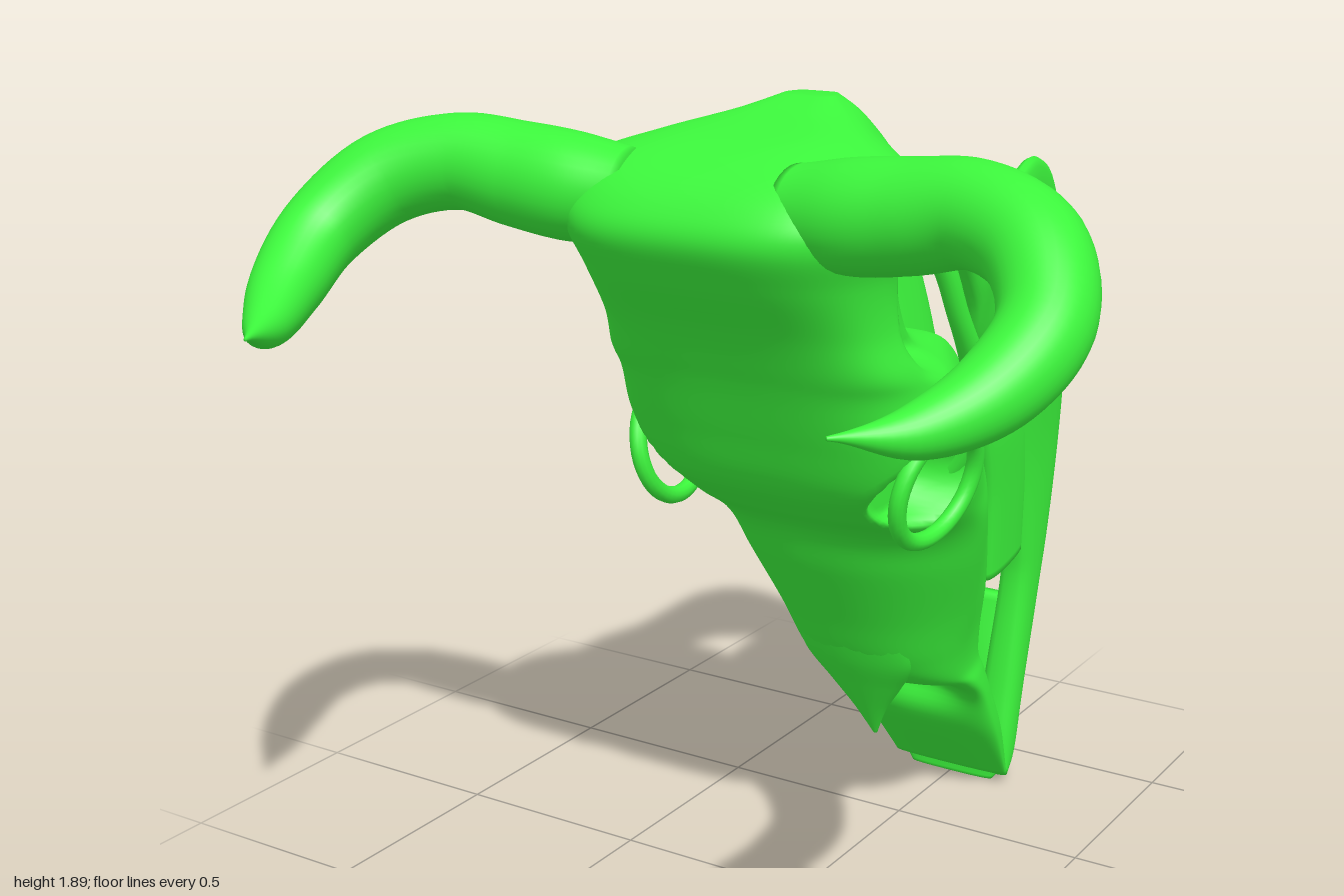
import * as THREE from 'three';

const material = new THREE.MeshStandardMaterial({ color: 0x3cf53c, side: THREE.DoubleSide });
const { lerp, smoothstep } = THREE.MathUtils;
const spow = (v, e) => Math.sign(v) * Math.pow(Math.abs(v), e);

// Smooth (Catmull-Rom) interpolation of every number in a list of rows
function sample(rows, t) {
  const f = t * (rows.length - 1), i = Math.min(Math.floor(f), rows.length - 2), u = f - i;
  const a = rows[Math.max(i - 1, 0)], b = rows[i], c = rows[i + 1], d = rows[Math.min(i + 2, rows.length - 1)];
  return b.map((p, k) => {
    const m0 = (c[k] - a[k]) / 2, m1 = (d[k] - p) / 2, e = c[k] - p;
    return p + u * (m0 + u * (3 * e - 2 * m0 - m1 + u * (m0 + m1 - 2 * e)));
  });
}

// Closed skin over rings; point(row, angle, t) returns [x, y, z]
function loft(name, rows, steps, sides, point) {
  const pos = [], idx = [];
  for (let j = 0; j <= steps; j++) {
    const row = sample(rows, j / steps);
    for (let i = 0; i < sides; i++) pos.push(...point(row, (i / sides) * Math.PI * 2, j / steps));
  }
  for (let j = 0; j < steps; j++) for (let i = 0; i < sides; i++) {
    const a = j * sides + i, b = j * sides + (i + 1) % sides;
    idx.push(a, b, a + sides, b, b + sides, a + sides);
  }
  for (const j of [0, steps]) { // end caps
    const c = new THREE.Vector3(), centre = pos.length / 3;
    for (let i = 0; i < sides; i++) c.add(new THREE.Vector3().fromArray(pos, (j * sides + i) * 3));
    pos.push(...c.divideScalar(sides).toArray());
    for (let i = 0; i < sides; i++) {
      const a = j * sides + i, b = j * sides + (i + 1) % sides;
      idx.push(...(j ? [a, b, centre] : [b, a, centre]));
    }
  }
  // Turn the faces outwards whichever way the rings run
  let volume = 0;
  const v = (i) => new THREE.Vector3().fromArray(pos, idx[i] * 3);
  for (let i = 0; i < idx.length; i += 3) volume += v(i).dot(v(i + 1).cross(v(i + 2)));
  if (volume < 0) idx.reverse();
  const g = new THREE.BufferGeometry();
  g.setAttribute('position', new THREE.Float32BufferAttribute(pos, 3));
  g.setIndex(idx);
  g.computeVertexNormals();
  const mesh = new THREE.Mesh(g, material);
  mesh.name = name;
  return mesh;
}

// Round horn or strut; rows are [x, y, z, radius]
function taperedTube(name, rows, side, steps, sides) {
  const curve = new THREE.CatmullRomCurve3(rows.map(([x, y, z]) => new THREE.Vector3(x, y, z)));
  const frames = curve.computeFrenetFrames(steps);
  return loft(name, rows.map((r) => [r[3]]), steps, sides, ([r], a, t) => {
    const p = curve.getPoint(t), tan = curve.getTangent(t);
    const n = frames.normals[Math.round(t * steps)].clone();
    n.addScaledVector(tan, -n.dot(tan)).normalize();
    p.addScaledVector(n, Math.cos(a) * r).addScaledVector(tan.cross(n), Math.sin(a) * r);
    return [p.x * side, p.y, p.z];
  });
}

// Flat rounded blade; rows are [outer z, outer y, inner z, inner y, x, half thickness]
function blade(name, rows, side, steps) {
  return loft(name, rows, steps, 24, ([oz, oy, iz, iy, x, h], a) => {
    const k = 0.5 + 0.5 * spow(Math.cos(a), 0.85);
    return [side * (x + h * spow(Math.sin(a), 0.7)), lerp(iy, oy, k), lerp(iz, oz, k)];
  });
}

// Presses x towards a depth inside an oval centred on (z, y)
function press(x, z, y, cz, cy, rz, ry, depth) {
  const k = 1 - smoothstep(Math.hypot((z - cz) / rz, (y - cy) / ry), 0.6, 1);
  return lerp(x, Math.sign(x) * Math.min(Math.abs(x), depth), k);
}

export function createModel() {
  const model = new THREE.Group();
  model.name = 'hornedSkull';

  // Skull slices: [y, front z, back z, front half width, back half width]
  const skull = [
    [1.9, -0.02, -0.09, 0.06, 0.05], [1.87, 0.1, -0.11, 0.13, 0.1],
    [1.835, 0.28, -0.13, 0.24, 0.14], [1.79, 0.39, -0.17, 0.36, 0.16],
    [1.73, 0.46, -0.22, 0.385, 0.17], [1.66, 0.485, -0.2, 0.37, 0.18],
    [1.57, 0.44, -0.16, 0.345, 0.19], [1.46, 0.365, -0.16, 0.345, 0.19],
    [1.37, 0.315, -0.22, 0.37, 0.19], [1.31, 0.285, -0.42, 0.385, 0.19],
    [1.2, 0.235, -0.52, 0.405, 0.2], [1.08, 0.175, -0.58, 0.385, 0.2],
    [1.0, 0.09, -0.61, 0.36, 0.2], [0.92, -0.015, -0.64, 0.335, 0.195],
    [0.8, -0.08, -0.665, 0.3, 0.19], [0.65, -0.165, -0.685, 0.25, 0.18],
    [0.53, -0.23, -0.67, 0.215, 0.17], [0.45, -0.3, -0.665, 0.2, 0.165],
    [0.4, -0.42, -0.68, 0.2, 0.165], [0.33, -0.53, -0.7, 0.195, 0.17],
    [0.2, -0.63, -0.745, 0.19, 0.18], [0.03, -0.78, -0.805, 0.165, 0.165],
  ];
  model.add(loft('cranium', skull, 160, 120, ([y, zf, zb, wf, wb], a) => {
    // Boxy behind, boxy across the forehead, rounder along the snout
    const p = Math.cos(a) < 0 ? 5 : lerp(2.5, 3.6, smoothstep(y, 0.85, 1.1));
    const r = Math.pow(Math.abs(Math.cos(a)) ** p + Math.abs(Math.sin(a)) ** p, -1 / p);
    const c = r * Math.cos(a), s = r * Math.sin(a);
    // Nostril opening in front, hollow palate behind
    const nostril = 0.1 * Math.exp(-(((y - 0.37) / 0.07) ** 2));
    const palate = 0.13 * smoothstep(y, 0.25, 0.7) * (1 - smoothstep(y, 0.9, 1.28));
    const z = lerp(zb, zf, 0.5 + 0.5 * c) - c * (1 - s * s) * (c > 0 ? nostril : palate);
    let x = s * lerp(wb, wf, smoothstep(c, -1, 0.35));
    x = press(x, z, y, 0, 1.09, 0.155, 0.135, 0.22); // eye sockets
    x = press(x, z, y, -0.04, 1.46, 0.2, 0.13, 0.24); // temples
    return [x, y, z];
  }));

  // Pointed nose bone hanging over the nostril opening
  const nose = [[0.62, -0.245, 0.16, 0.06], [0.52, -0.285, 0.15, 0.055], [0.44, -0.315, 0.1, 0.04],
    [0.36, -0.34, 0.045, 0.02], [0.28, -0.368, 0.005, 0.004]];
  model.add(loft('noseBone', nose, 24, 24, ([y, z, w, d], a) => [w * Math.sin(a), y, z + d * Math.cos(a)]));

  const horn = [
    [0.2, 1.715, 0.325, 0.1], [0.34, 1.725, 0.345, 0.115], [0.47, 1.74, 0.355, 0.113], [0.62, 1.76, 0.38, 0.103],
    [0.77, 1.72, 0.45, 0.1], [0.85, 1.62, 0.57, 0.09], [0.825, 1.53, 0.71, 0.078], [0.75, 1.48, 0.85, 0.05],
    [0.66, 1.49, 0.995, 0.004],
  ];
  // Thin cheek bar running from behind the horn to the socket
  const bar = [[0.31, 1.72, 0.12, 0.035], [0.37, 1.6, 0.05, 0.026], [0.385, 1.47, -0.01, 0.024],
    [0.385, 1.36, -0.08, 0.028], [0.375, 1.26, -0.14, 0.034], [0.345, 1.14, -0.155, 0.03], [0.28, 1.04, -0.15, 0.025]];
  const rim = Array.from({ length: 12 }, (_, i) => {
    const a = (i / 12) * Math.PI * 2, y = 1.09 + 0.13 * Math.sin(a);
    return new THREE.Vector3(0.35 + 0.2 * (y - 1.09) - 0.015 * Math.cos(a), y, 0.145 * Math.cos(a));
  });
  const jaw = [
    [-0.06, 1.62, -0.07, 1.56, 0.355, 0.03], [-0.2, 1.63, -0.14, 1.46, 0.345, 0.035],
    [-0.35, 1.63, -0.22, 1.34, 0.315, 0.03], [-0.5, 1.69, -0.42, 1.34, 0.28, 0.03],
    [-0.63, 1.71, -0.52, 1.33, 0.26, 0.03], [-0.77, 1.64, -0.6, 1.28, 0.235, 0.035],
    [-0.88, 1.45, -0.66, 1.23, 0.215, 0.04], [-0.96, 1.2, -0.71, 1.1, 0.19, 0.045],
    [-0.995, 0.95, -0.76, 0.9, 0.165, 0.045], [-0.975, 0.7, -0.81, 0.68, 0.15, 0.045],
    [-0.94, 0.5, -0.825, 0.55, 0.14, 0.045], [-0.89, 0.25, -0.8, 0.3, 0.125, 0.05],
    [-0.855, 0.07, -0.78, 0.14, 0.12, 0.05], [-0.81, 0.015, -0.785, 0.05, 0.115, 0.05],
  ];
  const teeth = [
    [-0.72, 1.21, -0.48, 1.19, 0.19, 0.025], [-0.76, 1.05, -0.54, 1.03, 0.185, 0.03],
    [-0.81, 0.88, -0.6, 0.85, 0.17, 0.03], [-0.84, 0.67, -0.64, 0.63, 0.155, 0.025],
  ];
  for (const side of [1, -1]) {
    const label = side > 0 ? 'left' : 'right';
    model.add(taperedTube(label + 'Horn', horn, side, 64, 32));
    model.add(taperedTube(label + 'CheekBar', bar, side, 32, 14));
    const ring = new THREE.CatmullRomCurve3(rim.map((p) => new THREE.Vector3(p.x * side, p.y, p.z)), true);
    const socket = new THREE.Mesh(new THREE.TubeGeometry(ring, 48, 0.02, 12, true), material);
    socket.name = label + 'EyeRim';
    model.add(socket);
    model.add(blade(label + 'LowerJaw', jaw, side, 64));
    model.add(blade(label + 'ToothRow', teeth, side, 24));
  }

  // Chin joining both halves of the lower jaw: [y, z, half width, half depth]
  const chin = [[0.5, -0.895, 0.12, 0.02], [0.35, -0.87, 0.12, 0.035], [0.18, -0.84, 0.14, 0.035],
    [0.08, -0.82, 0.165, 0.035], [0.005, -0.8, 0.12, 0.012]];
  model.add(loft('chin', chin, 24, 28, ([y, z, w, d], a) =>
    [w * spow(Math.sin(a), 0.6), y, z + d * spow(Math.cos(a), 0.8)]));

  return model;
}
